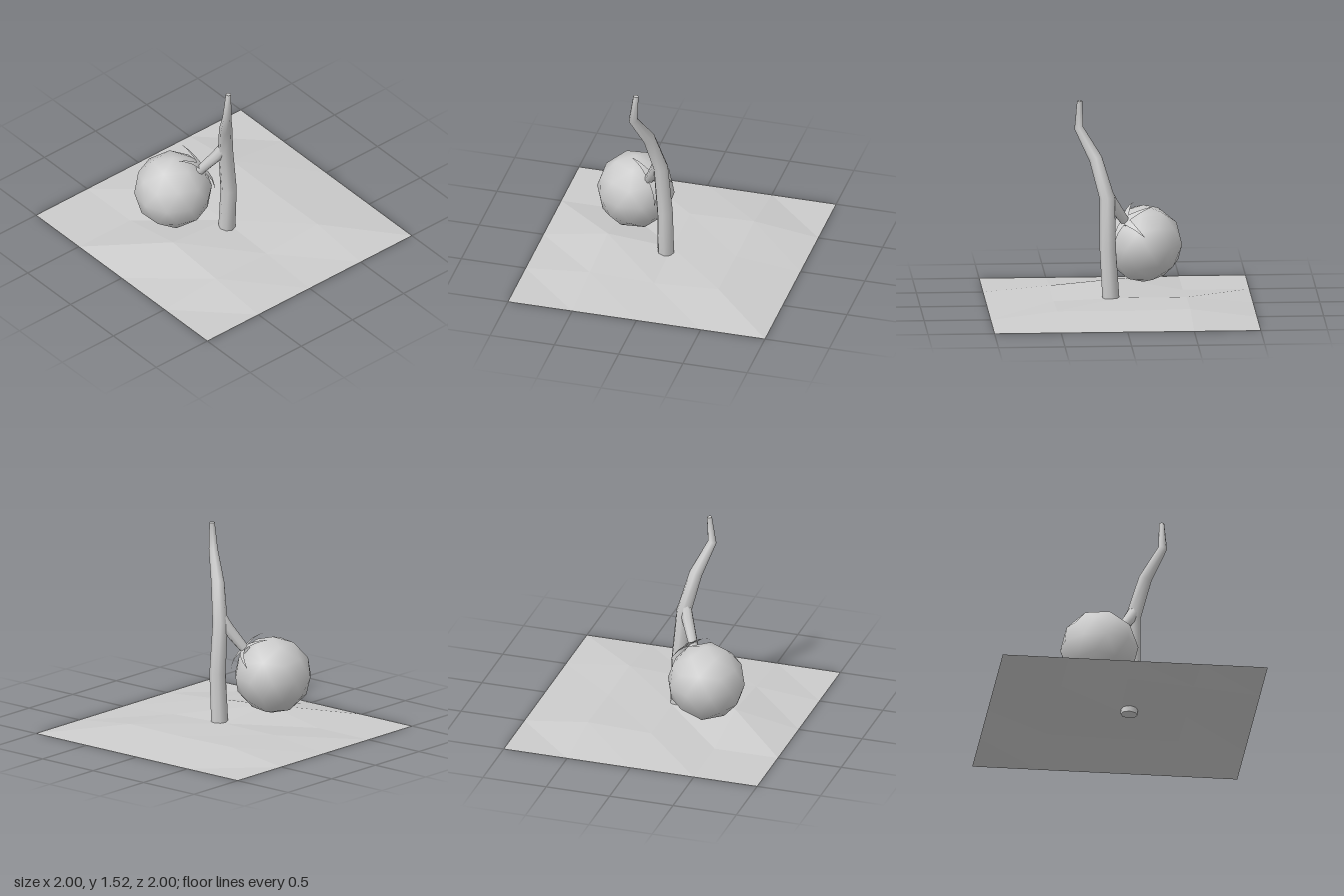
import * as THREE from 'three';

const V = (x, y, z) => new THREE.Vector3(x, y, z);
const material = new THREE.MeshStandardMaterial({ color: 0xcccccc });
const thin = new THREE.MeshStandardMaterial({ color: 0xcccccc, side: THREE.DoubleSide });
const flat = new THREE.MeshStandardMaterial({ color: 0xcccccc, side: THREE.DoubleSide, flatShading: true });

function build(positions, indices) {
  const g = new THREE.BufferGeometry();
  g.setAttribute('position', new THREE.Float32BufferAttribute(positions, 3));
  g.setIndex(indices);
  g.computeVertexNormals();
  return g;
}

// Tapered limb through points [x, y, z, radius], capped at both ends
function limb(points, sides = 8) {
  const centres = points.map(p => V(p[0], p[1], p[2]));
  const pos = [], idx = [], last = points.length - 1;
  const addRing = (i) => {
    const tangent = centres[Math.min(i + 1, last)].clone().sub(centres[Math.max(i - 1, 0)]).normalize();
    const v = V(1, 0, 0).cross(tangent).normalize();
    const u = tangent.clone().cross(v).normalize();
    for (let s = 0; s < sides; s++) {
      const a = s / sides * Math.PI * 2;
      const p = centres[i].clone().addScaledVector(u, Math.cos(a) * points[i][3])
        .addScaledVector(v, Math.sin(a) * points[i][3]);
      pos.push(p.x, p.y, p.z);
    }
  };
  for (let i = 0; i <= last; i++) addRing(i);
  for (let i = 0; i < last; i++) {
    for (let s = 0; s < sides; s++) {
      const a = i * sides + s, b = i * sides + (s + 1) % sides;
      idx.push(a, a + sides, b, b, a + sides, b + sides);
    }
  }
  // Caps have their own rings so their rims stay sharp
  for (const end of [0, last]) {
    const start = pos.length / 3;
    addRing(end);
    for (let s = 1; s < sides - 1; s++) {
      if (end) idx.push(start, start + s + 1, start + s);
      else idx.push(start, start + s, start + s + 1);
    }
  }
  // u, v and the tangent form a left-handed set, so reverse every face
  const u0 = V(pos[0], pos[1], pos[2]).sub(centres[0]);
  const v0 = V(pos[6], pos[7], pos[8]).sub(centres[0]);
  if (u0.cross(v0).dot(centres[1].clone().sub(centres[0])) > 0) {
    for (let i = 0; i < idx.length; i += 3) [idx[i + 1], idx[i + 2]] = [idx[i + 2], idx[i + 1]];
  }
  return build(pos, idx);
}

// Narrow pointed leaf bending over the fruit from base to tip
function sepal(base, tip, centre, radius) {
  const mid = base.clone().add(tip).multiplyScalar(0.5).sub(centre).setLength(radius * 1.08).add(centre);
  const control = mid.multiplyScalar(2).addScaledVector(base, -0.5).addScaledVector(tip, -0.5);
  const curve = new THREE.QuadraticBezierCurve3(base, control, tip);
  const widths = [0.028, 0.025, 0.016, 0.009, 0.001];
  const pos = [], idx = [];
  widths.forEach((w, i) => {
    const t = i / (widths.length - 1), p = curve.getPoint(t);
    const across = curve.getTangent(t).cross(p.clone().sub(centre)).setLength(w);
    pos.push(...p.clone().add(across).toArray(), ...p.clone().sub(across).toArray());
    if (i) idx.push(2 * i - 2, 2 * i - 1, 2 * i, 2 * i, 2 * i - 1, 2 * i + 1);
  });
  return build(pos, idx);
}

export function createModel() {
  const model = new THREE.Group();
  const add = (name, geometry, mat = material) => {
    const mesh = new THREE.Mesh(geometry, mat);
    mesh.name = name;
    model.add(mesh);
    return mesh;
  };

  // Uneven ground: only the inner grid points are raised
  const ground = new THREE.PlaneGeometry(2, 2, 4, 4).rotateX(-Math.PI / 2);
  const heights = [[0.065, 0.055, 0.06], [0.05, 0.05, 0.03], [0, 0.09, 0.045]];
  heights.forEach((row, r) => row.forEach((h, c) => ground.attributes.position.setY((r + 1) * 5 + c + 1, h)));
  ground.computeVertexNormals();
  add('ground', ground, flat);

  // Main stem, leaning towards its tip
  add('stem', limb([
    [0.065, 0.01, 0.028, 0.064],
    [0.09, 0.42, 0.03, 0.061],
    [0.092, 0.8, 0.062, 0.057],
    [0.175, 1.09, 0.13, 0.05],
    [0.297, 1.31, 0.22, 0.034],
    [0.291, 1.52, 0.2, 0.02],
  ]));

  // Side branch carrying the fruit
  add('fruitBranch', limb([
    [0.105, 0.86, 0.07, 0.045],
    [0.055, 0.76, 0.105, 0.046],
    [-0.04, 0.61, 0.18, 0.037],
    [-0.06, 0.575, 0.198, 0.036],
  ]));

  // Round fruit with a vertex at its top
  const centre = V(-0.195, 0.395, 0.335), radius = 0.295;
  const fruit = new THREE.IcosahedronGeometry(radius, 1)
    .rotateZ(Math.atan(2 / (1 + Math.sqrt(5)))).rotateY(Math.PI + 0.09);
  add('fruit', fruit).position.copy(centre);

  // Sepals spreading from the end of the branch
  const base = V(-0.045, 0.605, 0.175);
  const tips = [V(-0.26, 0.705, 0.19), V(-0.12, 0.71, 0.34), V(0.04, 0.41, 0.125), V(-0.19, 0.5, 0.045)];
  tips.forEach((tip, i) => add('sepal' + (i + 1), sepal(base.clone(), tip, centre, radius), thin));

  return model;
}
